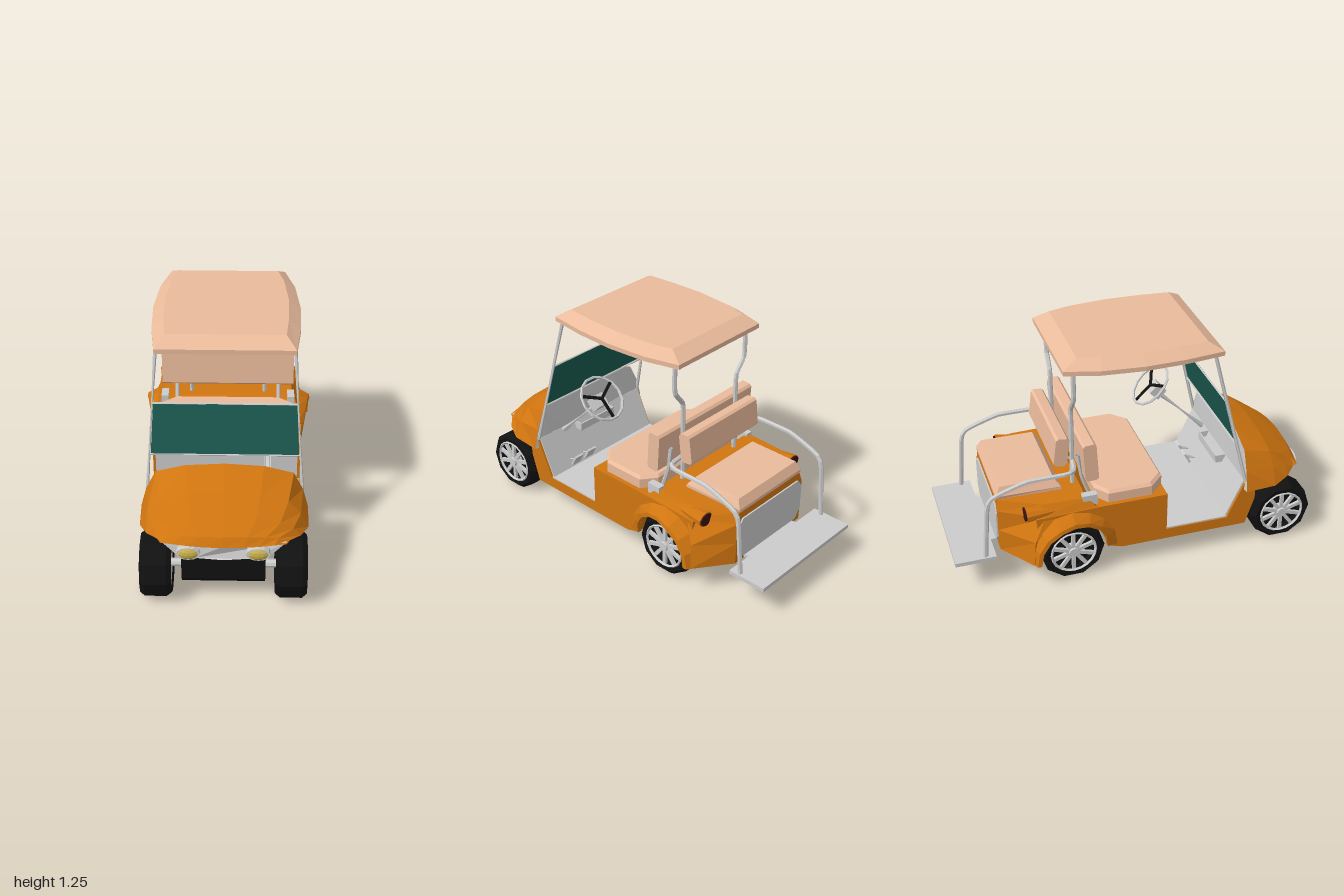
import * as THREE from 'three';

const mat = (color) => new THREE.MeshStandardMaterial({ color, flatShading: true, side: THREE.DoubleSide });
const V = (p) => new THREE.Vector3(...p);

export function createModel() {
  const cart = new THREE.Group();
  const orange = mat(0xd07510), peach = mat(0xeabb9c), grey = mat(0xcccccc), black = mat(0x111111);
  const green = mat(0x1b5a50), amber = mat(0xc9b04a), dark = mat(0x3a1212);

  const add = (name, geo, material, parent = cart) => {
    const m = new THREE.Mesh(geo, material);
    m.name = name;
    parent.add(m);
    return m;
  };
  const box = (name, w, h, d, x, y, z, material, rx = 0) => {
    const m = add(name, new THREE.BoxGeometry(w, h, d), material);
    m.position.set(x, y, z);
    m.rotation.x = rx;
    return m;
  };
  // Skin rows of points that share one count
  const loft = (rows, closed = false, caps = false) => {
    const n = rows[0].length, idx = [];
    for (let r = 0; r < rows.length - 1; r++)
      for (let i = 0; i < (closed ? n : n - 1); i++) {
        const a = r * n + i, b = r * n + (i + 1) % n;
        idx.push(a, a + n, b, b, a + n, b + n);
      }
    if (caps)
      for (let i = 1, t = (rows.length - 1) * n; i < n - 1; i++) idx.push(0, i, i + 1, t, t + i + 1, t + i);
    const g = new THREE.BufferGeometry();
    g.setAttribute('position', new THREE.Float32BufferAttribute(rows.flat(2), 3));
    g.setIndex(idx);
    const out = g.toNonIndexed();
    out.computeVertexNormals();
    return out;
  };
  // Solid from stacked plan outlines; each layer is [y, half outline of [x, z] from rear to front]
  const stack = (layers) => loft(layers.map(([y, half]) => [
    ...half.map(([x, z]) => [x, y, z]),
    ...[...half].reverse().map(([x, z]) => [-x, y, z])]), true, true);
  // Side profile of [z, y] points extruded across the width
  const across = (pts, w) => new THREE.ExtrudeGeometry(
    new THREE.Shape(pts.map((p) => new THREE.Vector2(...p))), { depth: w, bevelEnabled: false })
    .rotateY(-Math.PI / 2).translate(w / 2, 0, 0);
  const tube = (name, pts, r, material = grey) => add(name, new THREE.TubeGeometry(
    new THREE.CatmullRomCurve3(pts.map(V), false, 'catmullrom', 0.2), pts.length > 2 ? pts.length * 4 : 1, r, 6), material);
  const mirrorX = (pts, s) => pts.map(([x, y, z]) => [x * s, y, z]);

  // Tub with cut-out step and rear wheel arch
  const arch = [];
  for (let i = 0; i <= 8; i++) {
    const a = (5 + i * 21.25) * Math.PI / 180;
    arch.push([-0.375 + 0.19 * Math.cos(a), 0.175 + 0.19 * Math.sin(a)]);
  }
  add('tub', across([[0.61, 0.14], [-0.1, 0.14], [-0.18, 0.165], ...arch, [-0.565, 0.42], [-0.23, 0.43],
    [0.15, 0.43], [0.15, 0.2], [0.5, 0.2], [0.6, 0.42], [0.66, 0.4], [0.66, 0.3]], 0.81), orange);
  add('tail', stack([
    [0.17, [[0.27, -0.74], [0.46, -0.6], [0.4, -0.56]]],
    [0.3, [[0.27, -0.745], [0.44, -0.585], [0.4, -0.54]]],
    [0.42, [[0.27, -0.745], [0.4, -0.52], [0.4, -0.45]]]]), orange);
  add('rearDeck', stack([
    [0.42, [[0.27, -0.745], [0.4, -0.52], [0.405, -0.23]]],
    [0.48, [[0.25, -0.74], [0.36, -0.53], [0.37, -0.29]]]]), orange);
  add('rearPanel', new THREE.ExtrudeGeometry(new THREE.Shape([[-0.22, 0.2], [0.22, 0.2], [0.26, 0.25], [0.26, 0.4],
    [0.23, 0.44], [-0.23, 0.44], [-0.26, 0.4], [-0.26, 0.25]].map((p) => new THREE.Vector2(...p))),
  { depth: 0.01, bevelEnabled: false }).translate(0, 0, -0.752), grey);

  // Grey cabin lining
  box('floor', 0.8, 0.008, 0.36, 0, 0.203, 0.325, grey);
  box('seatBoxFront', 0.78, 0.22, 0.008, 0, 0.315, 0.153, grey);
  box('footWall', 0.79, 0.245, 0.008, 0, 0.312, 0.545, grey, 0.427);

  // Front cowl: sections [half profile, z, sweep back] from cabin to nose
  const sections = [
    [[[0, 0.645], [0.2, 0.63], [0.35, 0.585], [0.4, 0.48], [0.43, 0.365]], 0.615, 0.08],
    [[[0, 0.578], [0.18, 0.568], [0.32, 0.53], [0.385, 0.46], [0.425, 0.37]], 0.77, 0],
    [[[0, 0.51], [0.16, 0.503], [0.28, 0.475], [0.345, 0.435], [0.385, 0.39]], 0.88, 0.15],
    [[[0, 0.455], [0.12, 0.452], [0.21, 0.443], [0.27, 0.43], [0.325, 0.405]], 0.96, 0.4],
    [[[0, 0.408], [0.1, 0.408], [0.18, 0.408], [0.25, 0.408], [0.31, 0.405]], 0.985, 0.4]];
  const rows = sections.map(([half, z, k]) => {
    const side = half.map(([x, y]) => [x, y, z - k * x * x]);
    return [...mirrorX(side.slice(1), -1).reverse(), ...side];
  });
  add('cowl', loft(rows), orange);
  // Dash wall closes the cowl toward the cabin
  add('dashWall', loft([rows[0], rows[0].map(([x]) => [x * 0.93, 0.37, 0.59])]), grey);

  // Nose panel, headlights and bumper
  const nose = new THREE.ExtrudeGeometry(new THREE.Shape([[-0.31, 0.408], [-0.24, 0.345], [-0.14, 0.328], [0, 0.322],
    [0.14, 0.328], [0.24, 0.345], [0.31, 0.408], [0.15, 0.41], [0, 0.41], [-0.15, 0.41]].map((p) => new THREE.Vector2(...p))),
  { depth: 0.05, bevelEnabled: false }).translate(0, 0, 0.925);
  const np = nose.attributes.position;
  for (let i = 0; i < np.count; i++) np.setZ(i, np.getZ(i) - 0.4 * np.getX(i) ** 2);
  nose.computeVertexNormals();
  add('nosePanel', nose, grey);
  add('bumper', across([[0.7, 0.12], [0.9, 0.12], [0.93, 0.16], [0.94, 0.3], [0.92, 0.335], [0.7, 0.335]], 0.42), black);

  for (const s of [1, -1]) {
    const ring = add('headlightRim', new THREE.CylinderGeometry(0.06, 0.06, 0.04, 12).rotateX(Math.PI / 2), grey);
    ring.position.set(0.172 * s, 0.367, 0.965);
    ring.scale.y = 0.62;
    const lamp = add('headlight', new THREE.SphereGeometry(0.052, 12, 6), amber);
    lamp.position.set(0.172 * s, 0.367, 0.98);
    lamp.scale.set(1, 0.62, 0.38);

    // Flared rear fender, widening toward the back
    const flare = [[], [], [], []];
    for (let i = 0; i <= 8; i++) {
      const a = (-2 + i * 23) * Math.PI / 180, x = 0.415 + 0.065 * Math.min(1, i / 5);
      [[0.39, 0.188], [x, 0.19], [x - 0.004, 0.212], [0.403, 0.25]].forEach(([px, r], k) =>
        flare[k].push([px * s, Math.max(0.165, 0.175 + r * Math.sin(a)), -0.375 + r * Math.cos(a)]));
    }
    add('rearFender', loft(flare), orange);

    // Tail light in its housing
    const housing = add('tailLightHousing', new THREE.CylinderGeometry(0.03, 0.052, 0.15, 10).rotateX(Math.PI / 2), orange);
    housing.position.set(0.36 * s, 0.437, -0.54);
    housing.scale.y = 0.75;
    const lens = add('tailLight', new THREE.CylinderGeometry(0.045, 0.045, 0.02, 10).rotateX(Math.PI / 2), dark);
    lens.position.set(0.36 * s, 0.437, -0.612);
    lens.scale.y = 0.75;

    // Roof posts, seat supports and grab rails
    tube('frontPost', mirrorX([[0.345, 1.2, 0.41], [0.4, 0.42, 0.6]], s), 0.01);
    tube('rearPost', mirrorX([[0.275, 1.2, -0.32], [0.275, 1.03, -0.32], [0.262, 1.0, -0.32], [0.222, 0.95, -0.32],
      [0.21, 0.91, -0.32], [0.21, 0.47, -0.32]], s), 0.013);
    tube('seatSupport', mirrorX([[0.29, 0.44, -0.25], [0.29, 0.56, -0.29], [0.29, 0.7, -0.31]], s), 0.011);
    tube('grabRail', mirrorX([[0.22, 0.62, -0.32], [0.31, 0.625, -0.335], [0.343, 0.628, -0.38], [0.345, 0.625, -0.6],
      [0.345, 0.565, -0.775], [0.345, 0.51, -0.81], [0.345, 0.2, -0.835]], s), 0.013);
    box('hipBracket', 0.04, 0.06, 0.08, 0.36 * s, 0.465, -0.27, grey);
  }

  // Roof
  add('roof', stack([
    [1.19, [[0.31, -0.38], [0.36, -0.2], [0.382, 0.03], [0.375, 0.25], [0.35, 0.46]]],
    [1.215, [[0.31, -0.38], [0.36, -0.2], [0.382, 0.03], [0.375, 0.25], [0.35, 0.46]]],
    [1.26, [[0.27, -0.3], [0.3, -0.18], [0.32, 0.03], [0.315, 0.22], [0.3, 0.385]]]]), peach);

  // Windshield lies in the plane of the front posts
  add('windshield', loft([
    [[-0.376, 0.655, 0.548], [0.376, 0.655, 0.548]], [[-0.36, 0.915, 0.484], [0.36, 0.915, 0.484]]]), green);
  for (const [y, z, w] of [[0.65, 0.545, 0.38], [0.915, 0.48, 0.364]])
    tube('windshieldBar', [[-w, y, z], [w, y, z]], 0.006);

  // Cushions and backrests
  const frontSeat = [[0.3, -0.23], [0.38, -0.17], [0.38, 0.07], [0.3, 0.15]];
  add('frontSeat', stack([[0.43, frontSeat], [0.485, frontSeat],
    [0.5, frontSeat.map(([x, z]) => [x * 0.96, (z + 0.04) * 0.94 - 0.04])]]), peach);
  add('rearSeat', stack([
    [0.482, [[0.25, -0.745], [0.26, -0.39]]], [0.5, [[0.255, -0.745], [0.26, -0.395]]],
    [0.548, [[0.235, -0.72], [0.235, -0.43]]]]), peach);
  const backrest = (name, w, h, y, z, tilt) => {
    const d = 0.036, c = 0.012;
    const m = add(name, across([[-d, -h + c], [-d + c, -h], [d - c, -h], [d, -h + c],
      [d, h - c], [d - c, h], [-d + c, h], [-d, h - c]], w), peach);
    m.position.set(0, y, z);
    m.rotation.x = tilt;
  };
  backrest('frontBackrest', 0.74, 0.11, 0.69, -0.26, -0.06);
  backrest('rearBackrest', 0.54, 0.082, 0.716, -0.39, 0.12);
  for (const s of [1, -1]) tube('rearBackrestBracket', [[0.2 * s, 0.62, -0.32], [0.2 * s, 0.67, -0.39]], 0.01);

  // Rear standing platform
  box('platform', 0.73, 0.022, 0.22, 0, 0.193, -0.89, grey);
  box('platformBracket', 0.4, 0.02, 0.08, 0, 0.185, -0.76, grey);

  // Steering wheel and column
  tube('steeringColumn', [[0.22, 0.41, 0.585], [0.22, 0.68, 0.31]], 0.016);
  const steering = new THREE.Group();
  steering.name = 'steeringWheel';
  steering.position.set(0.22, 0.74, 0.262);
  steering.rotation.x = 0.8;
  cart.add(steering);
  add('wheelRim', new THREE.TorusGeometry(0.128, 0.008, 5, 14), grey, steering);
  add('wheelHub', new THREE.BoxGeometry(0.07, 0.07, 0.07), grey, steering).position.z = 0.05;
  for (const a of [0.5, 2.64, 4.71]) {
    const spoke = add('wheelSpoke', new THREE.BoxGeometry(0.125, 0.016, 0.008).translate(0.0625, 0, 0), black, steering);
    spoke.rotation.z = a;
  }

  // Pedals and dash tray
  for (const x of [0.14, 0.24]) {
    box('pedal', 0.06, 0.07, 0.012, x, 0.27, 0.46, grey, -0.5);
    tube('pedalArm', [[x, 0.27, 0.46], [x, 0.24, 0.54]], 0.008);
  }
  box('trayBottom', 0.26, 0.01, 0.06, 0, 0.385, 0.565, grey);
  box('trayLip', 0.26, 0.045, 0.008, 0, 0.405, 0.535, grey);
  for (const s of [1, -1]) box('trayEnd', 0.008, 0.045, 0.06, 0.13 * s, 0.405, 0.565, grey);

  // Wheels and axles
  const tyre = [[0.125, -0.07], [0.155, -0.08], [0.175, -0.055], [0.175, 0.055], [0.155, 0.08], [0.125, 0.075], [0.12, 0.03]]
    .map((p) => new THREE.Vector2(...p));
  for (const z of [0.825, -0.375]) {
    const axle = add('axle', new THREE.CylinderGeometry(0.022, 0.022, 0.6, 8).rotateZ(Math.PI / 2), grey);
    axle.position.set(0, 0.175, z);
    for (const s of [1, -1]) {
      const wheel = new THREE.Group();
      wheel.name = z > 0 ? 'frontWheel' : 'rearWheel';
      wheel.position.set(0.34 * s, 0.175, z);
      wheel.rotation.z = -s * Math.PI / 2;
      cart.add(wheel);
      add('tyre', new THREE.LatheGeometry(tyre, 10), black, wheel);
      add('innerDisc', new THREE.CylinderGeometry(0.126, 0.126, 0.01, 10), grey, wheel).position.y = -0.066;
      add('rimWell', new THREE.CylinderGeometry(0.122, 0.122, 0.01, 10), black, wheel).position.y = 0.03;
      const rim = add('rim', new THREE.TorusGeometry(0.122, 0.009, 4, 20).rotateX(Math.PI / 2), grey, wheel);
      rim.position.y = 0.073;
      add('hub', new THREE.CylinderGeometry(0.026, 0.036, 0.05, 10), grey, wheel).position.y = 0.06;
      for (let i = 0; i < 10; i++) {
        const spoke = add('spoke', new THREE.BoxGeometry(0.1, 0.016, 0.02).translate(0.07, 0.066, 0), grey, wheel);
        spoke.rotation.y = i * Math.PI / 5;
      }
    }
  }
  return cart;
}
